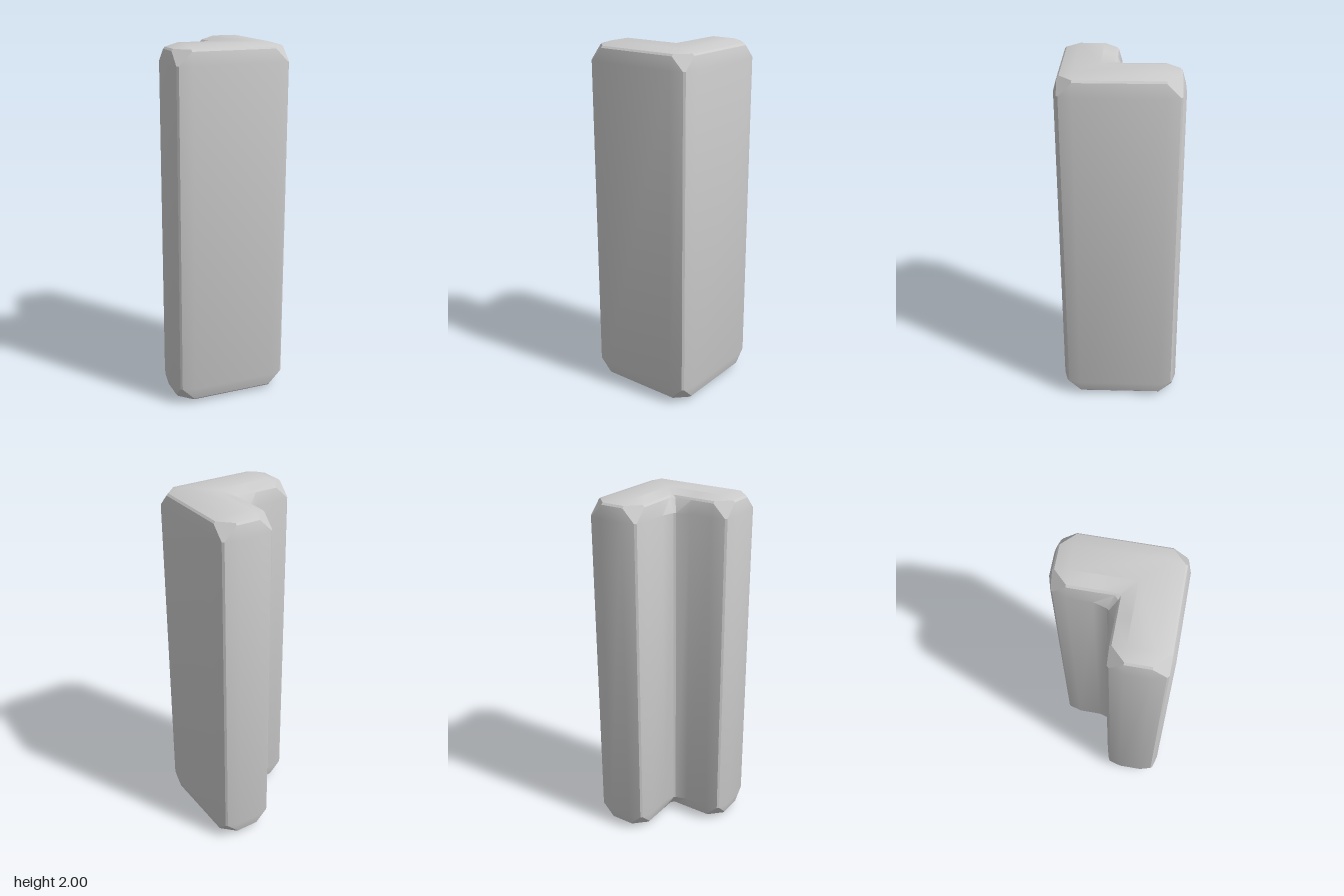
import * as THREE from 'three';
import { toCreasedNormals } from 'three/addons/utils/BufferGeometryUtils.js';

const H = 1 / 3;
// L-shaped plan [x, z], counter-clockwise seen from above
const PLAN = [[-H, H], [H, H], [H, -H], [0, -H], [0, 0], [-H, 0]]
  .map(([x, z]) => new THREE.Vector2(x, z));

// Levels of the worn edge: height, then [along, inset] of the outer and inner
// corner points, for convex corners and for the inside corner
const LEVELS = [
  { y: 1.9, outer: [0.1, 0], convex: [0.03, 0.02], concave: [0.03, -0.02] },
  { y: 1.97, outer: [0.1, 0.02], convex: [0.1, 0.02], concave: [0, 0.02] },
  { y: 1.98, outer: [0.1, 0.03], convex: [0.1, 0.03], concave: [-0.02, 0.03] },
  { y: 2, outer: [0.1, 0.1], convex: [0.1, 0.1], concave: [-0.1, 0.1] },
];

// Outline of one level: four points per corner
function ring(level, y) {
  const points = [];
  PLAN.forEach((p, i) => {
    const u = PLAN[(i + 5) % 6].clone().sub(p).normalize();
    const v = PLAN[(i + 1) % 6].clone().sub(p).normalize();
    const inside = i === 4;
    const s = inside ? -1 : 1;
    const inner = inside ? level.concave : level.convex;
    const add = (a, b, [along, inset]) => {
      const q = p.clone().addScaledVector(a, along).addScaledVector(b, s * inset);
      points.push(new THREE.Vector3(q.x, y, q.y));
    };
    add(u, v, level.outer);
    add(u, v, inner);
    add(v, u, inner);
    add(v, u, level.outer);
  });
  return points;
}

function columnGeometry() {
  const rings = [
    ...[...LEVELS].reverse().map((l) => ring(l, 2 - l.y)),
    ...LEVELS.map((l) => ring(l, l.y)),
  ];
  const positions = [];
  const triangle = (a, b, c) => {
    const area = b.clone().sub(a).cross(c.clone().sub(a)).length();
    if (area > 1e-7) positions.push(...a.toArray(), ...b.toArray(), ...c.toArray());
  };

  // Walls and worn edges between neighbouring levels
  for (let k = 0; k < rings.length - 1; k++) {
    const low = rings[k], high = rings[k + 1];
    for (let i = 0; i < low.length; i++) {
      const j = (i + 1) % low.length;
      triangle(low[i], low[j], high[j]);
      triangle(low[i], high[j], high[i]);
    }
  }

  // Flat caps
  const top = rings[rings.length - 1], bottom = rings[0];
  const flat = top.map((p) => new THREE.Vector2(p.x, -p.z));
  for (const [a, b, c] of THREE.ShapeUtils.triangulateShape(flat, [])) {
    triangle(top[a], top[b], top[c]);
    triangle(bottom[a], bottom[c], bottom[b]);
  }

  const geometry = new THREE.BufferGeometry();
  geometry.setAttribute('position', new THREE.Float32BufferAttribute(positions, 3));
  return toCreasedNormals(geometry, 0.43);
}

export function createModel() {
  const group = new THREE.Group();
  group.name = 'cornerColumn';
  const column = new THREE.Mesh(
    columnGeometry(),
    new THREE.MeshStandardMaterial({ color: 0xcccccc }),
  );
  column.name = 'column';
  group.add(column);
  return group;
}
